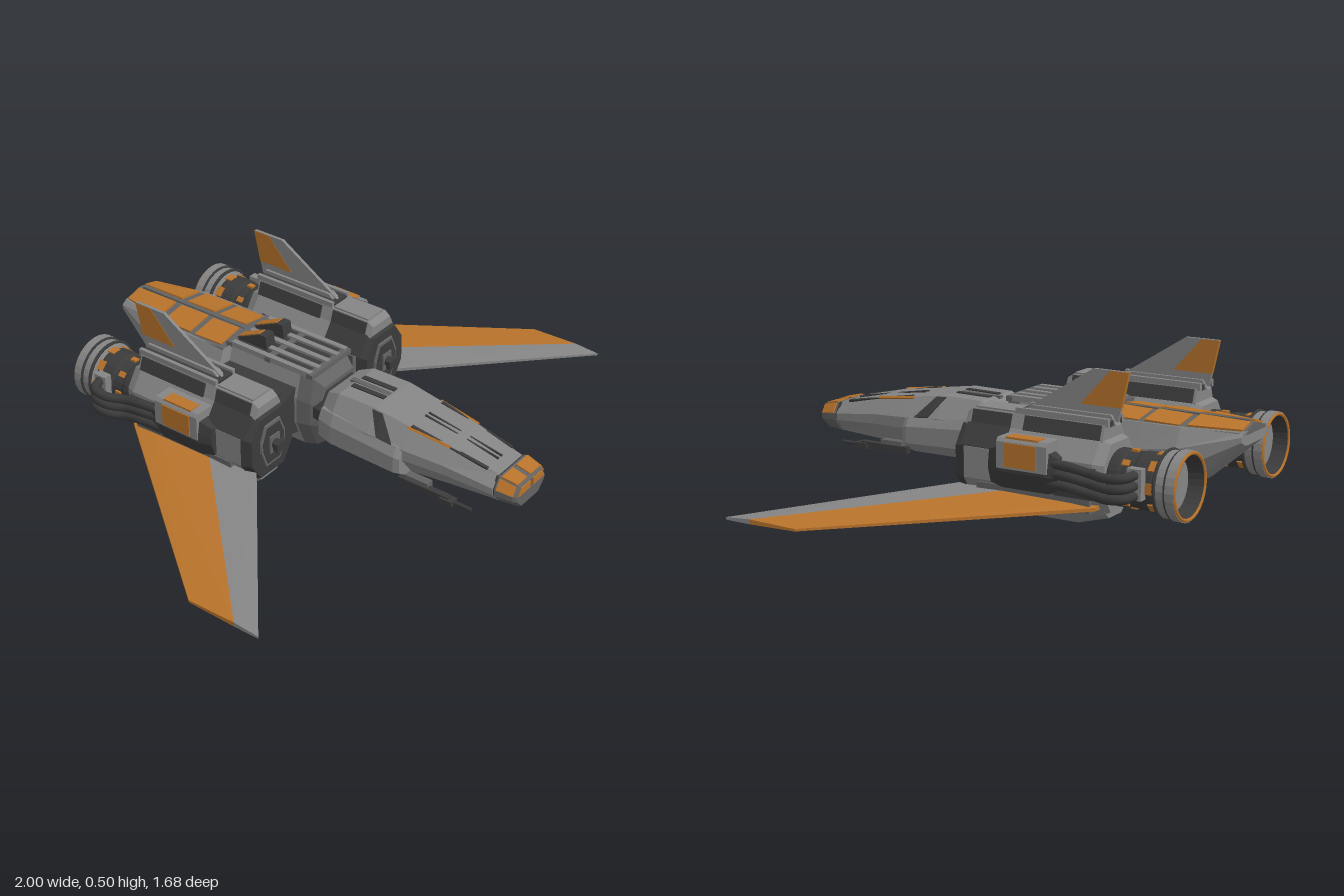
import * as THREE from 'three';
import { ConvexGeometry } from 'three/addons/geometries/ConvexGeometry.js';

const mat = (name, color) => Object.assign(new THREE.MeshStandardMaterial({ color, side: THREE.DoubleSide }), { name });
const V = (x, y, z) => new THREE.Vector3(x, y, z);

export function createModel() {
  const light = mat('hull grey', 0x858585), mid = mat('panel grey', 0x626262);
  const dark = mat('machinery grey', 0x3b3b3b), orange = mat('orange paint', 0xb8732b);
  const root = new THREE.Group();
  root.name = 'starfighter';

  const add = (name, geo, m, x = 0, y = 0, z = 0) => {
    const mesh = new THREE.Mesh(geo, m);
    mesh.name = name;
    mesh.position.set(x, y, z);
    root.add(mesh);
    return mesh;
  };
  const box = (name, m, x, y, z, w, h, d) => add(name, new THREE.BoxGeometry(w, h, d), m, x, y, z);
  const hull = (name, m, pts) => add(name, new ConvexGeometry(pts), m);

  // thin plate lying on a flat four-cornered patch
  const plate = (name, m, pts, t = 0.004) => {
    const p = pts.map(a => V(...a));
    const n = p[1].clone().sub(p[0]).cross(p[2].clone().sub(p[0])).setLength(t);
    return hull(name, m, p.flatMap(a => [a.clone().add(n), a.clone().sub(n)]));
  };

  // eight-sided body from sections [z, half width, bottom, top], front to back
  const loft = (name, m, secs, cx = 0, top = 0.62, low = 0.6, v0 = 0.42, v1 = 0.64) => {
    const prof = [[1, v0], [1, v1], [top, 1], [-top, 1], [-1, v1], [-1, v0], [-low, 0], [low, 0]];
    const rings = secs.map(([z, w, a, b]) => prof.map(([u, v]) => [cx + u * w, a + v * (b - a), z]));
    const pos = [], tri = (...p) => p.forEach(q => pos.push(...q));
    const last = rings.length - 1;
    for (let i = 0; i < last; i++) for (let j = 0; j < 8; j++) {
      const k = (j + 1) % 8, a = rings[i], b = rings[i + 1];
      tri(a[j], b[j], b[k]);
      tri(a[j], b[k], a[k]);
    }
    for (let j = 1; j < 7; j++) {
      tri(rings[0][0], rings[0][j], rings[0][j + 1]);
      tri(rings[last][0], rings[last][j + 1], rings[last][j]);
    }
    const g = new THREE.BufferGeometry();
    g.setAttribute('position', new THREE.Float32BufferAttribute(pos, 3));
    g.computeVertexNormals();
    return add(name, g, m);
  };

  // turned part along the z axis from [radius, distance back]
  const turned = (name, m, pts, x, y) => {
    const g = new THREE.LatheGeometry(pts.map(p => new THREE.Vector2(...p)), 28).rotateX(-Math.PI / 2).toNonIndexed();
    g.computeVertexNormals();
    return add(name, g, m, x, y, 0);
  };

  // forward fuselage
  loft('noseHull', light, [[0.76, 0.103, 0.105, 0.212], [0.58, 0.122, 0.097, 0.252], [0.43, 0.142, 0.09, 0.272],
    [0.29, 0.15, 0.088, 0.292], [0.14, 0.15, 0.088, 0.29], [0.085, 0.13, 0.1, 0.268]], 0, 0.66);
  loft('cockpitCheeks', light, [[0.43, 0.157, 0.085, 0.205], [0.41, 0.165, 0.082, 0.213], [0.15, 0.165, 0.082, 0.235],
    [0.09, 0.15, 0.09, 0.23]], 0, 0.88, 0.68, 0.3, 0.75);
  loft('noseCollar', dark, [[0.77, 0.1, 0.107, 0.209], [0.755, 0.1, 0.107, 0.209]], 0, 0.75);
  loft('noseTip', mid, [[0.84, 0.084, 0.112, 0.192], [0.83, 0.092, 0.108, 0.197], [0.766, 0.104, 0.105, 0.211]], 0, 0.75);
  loft('neck', dark, [[0.1, 0.115, 0.1, 0.255], [0.04, 0.115, 0.09, 0.265]]);
  box('canopySpine', mid, 0, 0.288, 0.2, 0.02, 0.01, 0.16);

  // rear fuselage
  loft('rearCollar', mid, [[0.065, 0.1, 0.05, 0.275], [0.03, 0.118, 0.025, 0.3], [-0.02, 0.128, 0.015, 0.312]],
    0, 0.8, 0.65, 0.36, 0.68);
  loft('rearHull', light, [[-0.02, 0.128, 0.015, 0.312], [-0.32, 0.13, 0.015, 0.314], [-0.34, 0.163, 0.02, 0.3],
    [-0.5, 0.165, 0.025, 0.3], [-0.64, 0.162, 0.085, 0.3], [-0.84, 0.1, 0.25, 0.298]], 0, 0.8, 0.65, 0.36, 0.7);
  for (const x of [-0.098, -0.052, 0, 0.052, 0.098]) box('spineRib', light, x, 0.317, -0.15, 0.02, 0.02, 0.34);
  for (const x of [-0.075, -0.026, 0.026, 0.075]) box('spineGroove', dark, x, 0.313, -0.15, 0.026, 0.014, 0.32);
  for (const z of [0.02, -0.16, -0.33]) box('spineBand', mid, 0, 0.314, z, 0.22, 0.018, 0.025);
  hull('tailRoof', mid, [[-0.34, 0.132, 0.32], [-0.64, 0.13, 0.318], [-0.84, 0.083, 0.314]].flatMap(([z, w, y]) =>
    [-1, 1].flatMap(k => [V(k * 0.01, y, z), V(k * w, y - 0.02, z), V(k * w, y - 0.03, z)])));
  box('tailSpine', mid, 0, 0.317, -0.58, 0.016, 0.012, 0.48);

  for (const s of [1, -1]) {
    // orange panels on the pitched tail roof and on the nose
    for (const [z0, z1, w0, w1] of [[-0.36, -0.48, 0.118, 0.118], [-0.502, -0.628, 0.118, 0.118], [-0.655, -0.832, 0.114, 0.076]])
      plate('tailPanel', orange, [[s * 0.016, 0.32, z0], [s * w0, 0.303, z0], [s * w1, 0.3, z1], [s * 0.016, 0.316, z1]], 0.0045);
    plate('noseTopPanel', orange, [[s * 0.01, 0.197, 0.83], [s * 0.067, 0.197, 0.83], [s * 0.076, 0.21, 0.774], [s * 0.01, 0.21, 0.774]]);
    plate('noseSidePanel', orange, [[s * 0.092, 0.165, 0.83], [s * 0.072, 0.194, 0.83], [s * 0.08, 0.207, 0.772], [s * 0.103, 0.173, 0.772]], 0.0049);
    plate('noseFrontPanel', orange, [[s * 0.008, 0.163, 0.84], [s * 0.078, 0.163, 0.84], [s * 0.062, 0.19, 0.84], [s * 0.008, 0.19, 0.84]]);

    // canopy glazing lines and side window
    plate('canopySeam', dark, [[s * 0.068, 0.222, 0.72], [s * 0.078, 0.219, 0.72], [s * 0.094, 0.272, 0.43], [s * 0.082, 0.273, 0.43]]);
    plate('canopyGroove', dark, [[s * 0.02, 0.292, 0.28], [s * 0.04, 0.292, 0.28], [s * 0.04, 0.29, 0.145], [s * 0.02, 0.29, 0.145]]);
    plate('canopyCentreSeam', dark, [[s * 0.007, 0.223, 0.72], [s * 0.013, 0.223, 0.72], [s * 0.013, 0.273, 0.43], [s * 0.007, 0.273, 0.43]]);
    plate('sideWindow', dark, [[s * 0.144, 0.209, 0.39], [s * 0.1, 0.284, 0.32], [s * 0.1, 0.286, 0.28], [s * 0.148, 0.218, 0.33]], 0.0049);
    plate('canopySideTrim', orange, [[s * 0.096, 0.274, 0.42], [s * 0.101, 0.267, 0.42], [s * 0.087, 0.246, 0.58], [s * 0.082, 0.254, 0.58]], 0.0035);

    // nose gun
    box('gunBody', dark, s * 0.137, 0.088, 0.52, 0.024, 0.024, 0.2);
    box('gunMount', mid, s * 0.128, 0.1, 0.49, 0.03, 0.03, 0.09);
    add('gunBarrel', new THREE.CylinderGeometry(0.007, 0.007, 0.13, 10).rotateX(Math.PI / 2), dark, s * 0.137, 0.085, 0.64);
    box('gunMuzzle', dark, s * 0.14, 0.085, 0.615, 0.036, 0.02, 0.05);

    // upright vents on the spine with a painted rear slope
    const vx = s * 0.047;
    hull('spineVent', dark, [-0.023, 0.023].flatMap(k => [V(vx + k, 0.3, -0.19), V(vx + k, 0.37, -0.2),
      V(vx + k, 0.37, -0.225), V(vx + k, 0.322, -0.33), V(vx + k, 0.3, -0.33)]));
    plate('ventSlope', orange, [[vx - 0.017, 0.367, -0.23], [vx + 0.017, 0.367, -0.23], [vx + 0.017, 0.325, -0.322], [vx - 0.017, 0.325, -0.322]]);

    // pylon between hull and nacelle
    hull('pylon', dark, [-0.03, -0.45].flatMap(z => [V(s * 0.11, 0.07, z), V(s * 0.11, 0.26, z), V(s * 0.23, 0.1, z), V(s * 0.23, 0.21, z)]));
    box('pylonBlock', dark, s * 0.18, 0.22, -0.25, 0.06, 0.05, 0.38);

    // nacelle: eight-sided body with a raised cap and a keel
    const cx = s * 0.32;
    loft('nacelle', light, [[-0.01, 0.116, 0.045, 0.292], [-0.49, 0.116, 0.045, 0.292], [-0.525, 0.1, 0.06, 0.28]], cx, 0.57, 0.57, 0.3, 0.72);
    loft('nacelleCap', light, [[0.012, 0.066, 0.283, 0.322], [-0.01, 0.068, 0.283, 0.337], [-0.5, 0.068, 0.283, 0.337]], cx, 0.76, 0.95, 0.02, 0.1);
    loft('nacelleKeel', light, [[0.012, 0.066, 0.03, 0.07], [-0.02, 0.07, 0.005, 0.07], [-0.4, 0.07, 0.005, 0.07],
      [-0.51, 0.066, 0.035, 0.07]], cx, 0.95, 0.6, 0.65, 0.9);
    loft('nacelleIntakeFace', dark, [[0.026, 0.106, 0.053, 0.284], [-0.012, 0.118, 0.043, 0.294]], cx, 0.57, 0.57, 0.3, 0.72);
    loft('intakeFrame', mid, [[0.032, 0.062, 0.09, 0.25], [0.02, 0.066, 0.085, 0.255]], cx, 0.6);
    loft('intakeRecess', dark, [[0.034, 0.054, 0.1, 0.24], [0.02, 0.054, 0.1, 0.24]], cx, 0.6);
    box('intakeInset', mid, cx, 0.17, 0.034, 0.05, 0.065, 0.012);
    add('intakeProbe', new THREE.CylinderGeometry(0.018, 0.018, 0.05, 12).rotateX(Math.PI / 2), dark, cx, 0.17, 0.045);
    box('probeTip', dark, cx, 0.17, 0.06, 0.05, 0.03, 0.018);
    box('nacelleTopBlock', light, cx, 0.338, -0.09, 0.09, 0.01, 0.15);
    box('nacelleTopChannel', dark, cx, 0.338, -0.34, 0.076, 0.018, 0.34);
    for (const k of [-1, 1]) {
      plate('shoulderPanel', dark, [[cx + k * 0.115, 0.224, 0], [cx + k * 0.067, 0.291, 0], [cx + k * 0.067, 0.291, -0.16], [cx + k * 0.115, 0.224, -0.16]], 0.0049);
      plate('capPanel', dark, [[cx + k * 0.068, 0.29, -0.012], [cx + k * 0.054, 0.334, -0.012], [cx + k * 0.054, 0.334, -0.16], [cx + k * 0.068, 0.29, -0.16]]);
      plate('rearCapPanel', dark, [[cx + k * 0.07, 0.289, -0.21], [cx + k * 0.054, 0.335, -0.21], [cx + k * 0.054, 0.335, -0.49], [cx + k * 0.07, 0.289, -0.49]], 0.0049);
      box('finRail', light, cx + k * 0.044, 0.343, -0.34, 0.014, 0.026, 0.34);
    }

    // outer pod with painted hatch
    loft('sidePod', dark, [[-0.12, 0.03, 0.12, 0.23], [-0.17, 0.048, 0.11, 0.25], [-0.34, 0.048, 0.11, 0.25], [-0.38, 0.035, 0.12, 0.23]], s * 0.428, 0.8, 0.5);
    hull('hatchFrame', light, [-0.165, -0.35].flatMap(z => [V(s * 0.4, 0.18, z), V(s * 0.48, 0.18, z), V(s * 0.48, 0.268, z),
      V(s * 0.47, 0.28, z), V(s * 0.4, 0.28, z)]));
    box('hatchSide', orange, s * 0.48, 0.227, -0.255, 0.008, 0.078, 0.118);
    box('hatchTop', orange, s * 0.449, 0.28, -0.255, 0.046, 0.008, 0.118);
    box('hoseTray', dark, s * 0.43, 0.16, -0.43, 0.04, 0.1, 0.14);

    // hoses from pod to engine
    for (let i = 0; i < 3; i++) {
      const y = 0.135 + i * 0.033;
      const path = new THREE.CatmullRomCurve3([V(s * 0.45, y + 0.01, -0.34), V(s * 0.462, y + 0.01, -0.43), V(s * 0.464, y, -0.5),
        V(s * 0.49, y, -0.57), V(s * 0.483, y + 0.005, -0.625), V(s * 0.42, y + 0.01, -0.645)]);
      add('hose', new THREE.TubeGeometry(path, 24, 0.016, 8), dark);
    }
    box('hoseCoupling', light, s * 0.425, 0.18, -0.64, 0.03, 0.1, 0.05);

    // engine
    const ey = 0.165;
    turned('engineBarrel', dark, [[0.08, 0.5], [0.094, 0.53], [0.094, 0.56], [0.09, 0.57], [0.09, 0.61], [0.094, 0.62], [0.094, 0.68], [0.085, 0.7]], cx, ey);
    turned('nozzle', light, [[0.09, 0.69], [0.108, 0.698], [0.108, 0.735], [0.114, 0.74], [0.114, 0.772], [0.1, 0.772]], cx, ey);
    turned('nozzleWall', dark, [[0.1, 0.772], [0.088, 0.72]], cx, ey);
    turned('nozzleDisc', light, [[0.088, 0.722], [0, 0.722]], cx, ey);
    add('nozzleRim', new THREE.TorusGeometry(0.106, 0.006, 6, 28), orange, cx, ey, -0.772);
    for (const z of [-0.74, -0.702]) add('nozzleBand', new THREE.TorusGeometry(0.109, 0.006, 6, 28), dark, cx, ey, z);
    for (let i = 0; i < 8; i++) {
      const a = i * Math.PI / 4, c = Math.cos(a), d = Math.sin(a);
      for (const [z, w, l] of [[-0.583, 0.02, 0.024], [-0.68, 0.036, 0.028]])
        box('engineMark', orange, cx + c * 0.092, ey + d * 0.092, z, 0.009, w, l).rotation.z = a;
    }

    // swept wing: grey leading strip and orange rear
    const edge = (x, y, z, t) => [V(s * x, y + t, z), V(s * x, y - t, z)];
    hull('wingLeadingStrip', light, [...edge(0.36, 0.086, -0.01, 0.006), ...edge(1, 0.037, 0.515, 0.004),
      ...edge(1, 0.04, 0.42, 0.008), ...edge(0.36, 0.084, -0.23, 0.014)]);
    hull('wingPaintedRear', orange, [...edge(0.36, 0.084, -0.23, 0.014), ...edge(1, 0.04, 0.42, 0.008),
      ...edge(1, 0.04, 0.24, 0.004), ...edge(0.43, 0.078, -0.5, 0.006), ...edge(0.36, 0.084, -0.5, 0.01)]);
    box('wingRoot', mid, s * 0.4, 0.085, -0.27, 0.07, 0.05, 0.42);

    // tail fin
    const fin = (name, m, pts, t) => hull(name, m, pts.flatMap(([z, y]) => [V(cx + t, y, z), V(cx - t, y, z)]));
    fin('fin', light, [[-0.17, 0.34], [-0.43, 0.503], [-0.556, 0.503], [-0.52, 0.34]], 0.006);
    fin('finPaint', orange, [[-0.385, 0.385], [-0.49, 0.465], [-0.49, 0.502], [-0.557, 0.502], [-0.531, 0.385]], 0.007);
    fin('finBase', light, [[-0.17, 0.33], [-0.21, 0.362], [-0.5, 0.362], [-0.52, 0.33]], 0.016);
  }
  return root;
}
